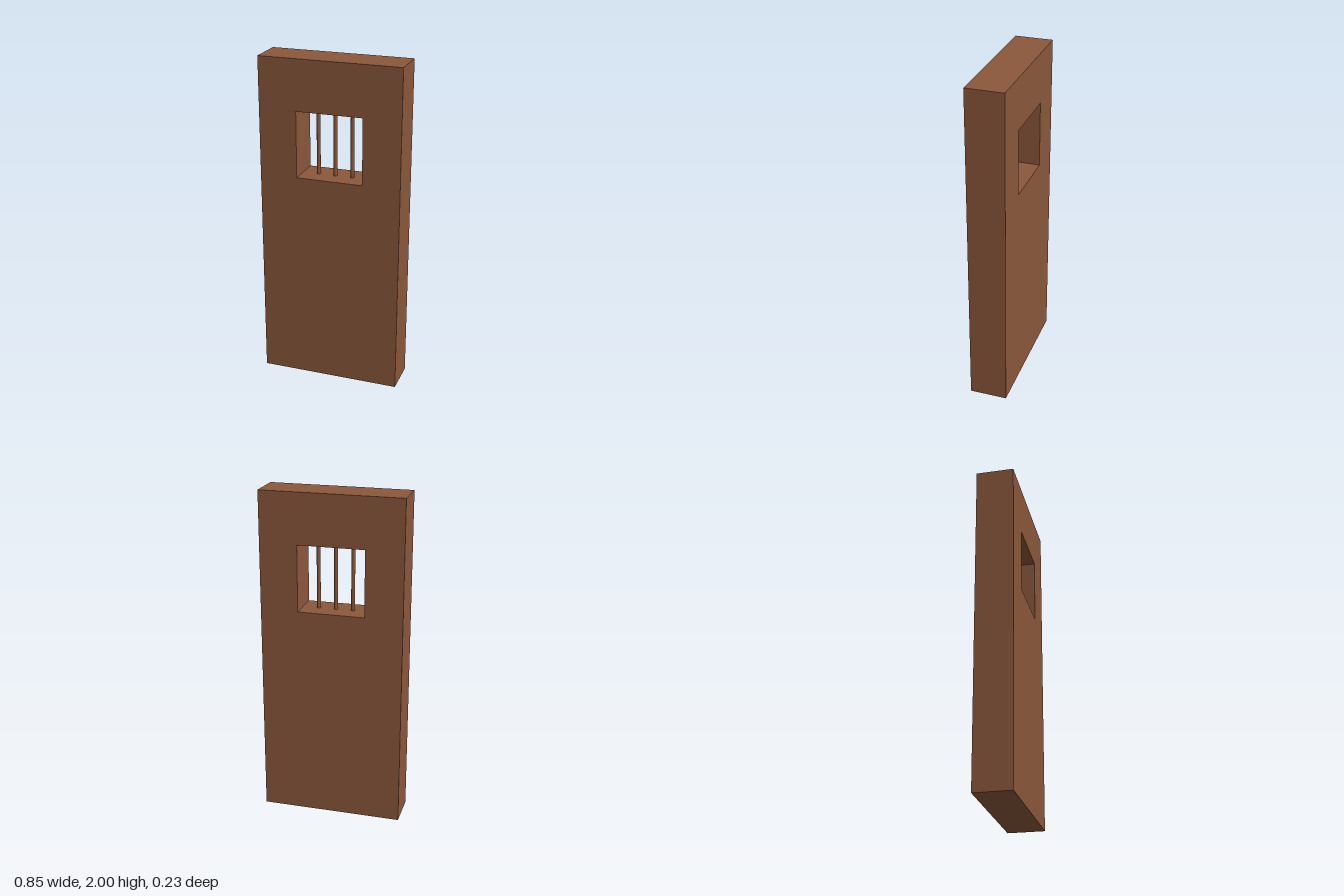
import * as THREE from 'three';

const WIDTH = 0.854, HEIGHT = 2, DEPTH = 0.227;
const WINDOW = { half: 0.2, bottom: 1.295, top: 1.695 };

// Closed rectangle outline from corner to corner
function rectangle(path, x0, y0, x1, y1) {
  path.moveTo(x0, y0);
  path.lineTo(x1, y0);
  path.lineTo(x1, y1);
  path.lineTo(x0, y1);
  path.closePath();
  return path;
}

export function createModel() {
  const model = new THREE.Group();
  model.name = 'barredDoor';
  const brown = new THREE.MeshStandardMaterial({ color: 0x8b573c });
  brown.name = 'brown';

  // Thick slab with a square window cut through it
  const outline = rectangle(new THREE.Shape(), -WIDTH / 2, 0, WIDTH / 2, HEIGHT);
  outline.holes.push(rectangle(new THREE.Path(), -WINDOW.half, WINDOW.bottom, WINDOW.half, WINDOW.top));
  const slabGeometry = new THREE.ExtrudeGeometry(outline, { depth: DEPTH, bevelEnabled: false });
  slabGeometry.translate(0, 0, -DEPTH / 2);
  const slab = new THREE.Mesh(slabGeometry, brown);
  slab.name = 'doorSlab';
  model.add(slab);

  // Three round upright bars, sunk slightly into the window frame
  const bars = new THREE.Group();
  bars.name = 'windowBars';
  const barGeometry = new THREE.CylinderGeometry(0.0114, 0.0114, WINDOW.top - WINDOW.bottom + 0.01, 16);
  for (const x of [-0.104, 0, 0.104]) {
    const bar = new THREE.Mesh(barGeometry, brown);
    bar.name = 'windowBar';
    bar.position.set(x, (WINDOW.top + WINDOW.bottom) / 2, 0);
    bars.add(bar);
  }
  model.add(bars);

  return model;
}
